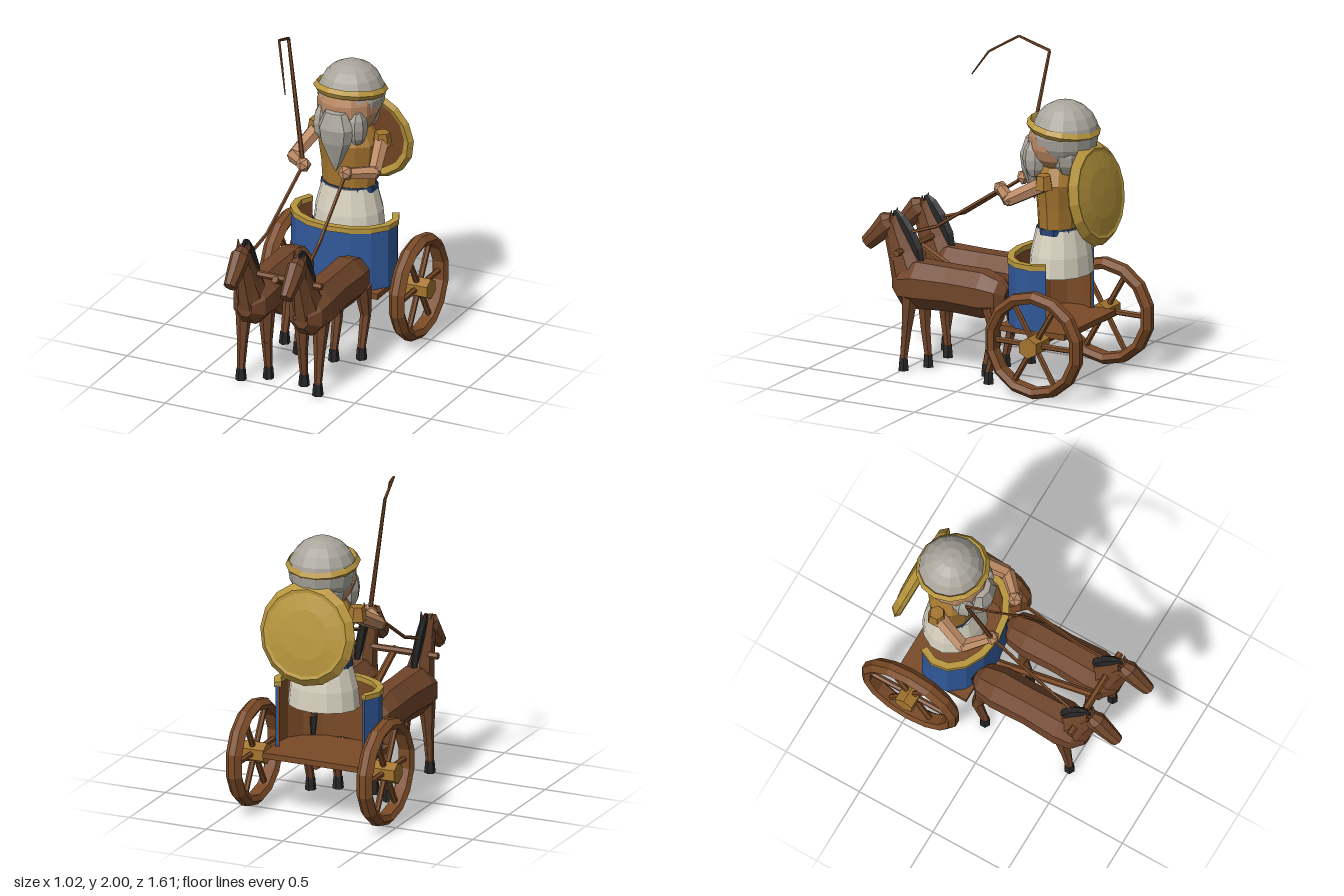
import * as THREE from 'three';

const mat = (color) => new THREE.MeshStandardMaterial({ color, flatShading: true });
const M = {
  wood: mat(0x7a4a26), coat: mat(0x70452a), gold: mat(0xb8963c), bronze: mat(0xa3742e), blue: mat(0x30599a),
  skin: mat(0xba8862), hair: mat(0xaaa69d), cloth: mat(0xd6d0be), dark: mat(0x262626), navy: mat(0x233f70),
};
const V = (p) => new THREE.Vector3(...p);

function add(parent, name, geo, material, pos = [0, 0, 0], scale = [1, 1, 1]) {
  const m = new THREE.Mesh(geo, material);
  m.name = name;
  m.position.set(...pos);
  m.scale.set(...scale);
  parent.add(m);
  return m;
}

// Tapered rod between two points
function rod(parent, name, a, b, r0, r1, material, sides = 6) {
  const d = V(b).sub(V(a));
  const m = add(parent, name, new THREE.CylinderGeometry(r1, r0, d.length(), sides), material);
  m.position.copy(V(a)).addScaledVector(d, 0.5);
  m.quaternion.setFromUnitVectors(new THREE.Vector3(0, 1, 0), d.normalize());
  return m;
}

// Chain of rods through a list of points
function chain(parent, name, pts, radii, material, sides = 6) {
  for (let i = 0; i + 1 < pts.length; i++) rod(parent, name, pts[i], pts[i + 1], radii[i], radii[i + 1], material, sides);
}

const lathe = (pts, sides) => new THREE.LatheGeometry(pts.map((p) => new THREE.Vector2(...p)), sides);

// Skin over elliptical rings: [y, z, halfWidth, halfHeight, pitch]
function loft(rings, n = 8) {
  const pos = [], idx = [];
  for (const [y, z, w, h, a] of rings) {
    for (let j = 0; j < n; j++) {
      const t = ((j + 0.5) / n) * Math.PI * 2, u = h * Math.sin(t);
      pos.push(w * Math.cos(t), y + u * Math.cos(a), z - u * Math.sin(a));
    }
  }
  for (let i = 0; i + 1 < rings.length; i++) {
    for (let j = 0; j < n; j++) {
      const k = (j + 1) % n, a = i * n + j, b = i * n + k;
      idx.push(a, b, b + n, a, b + n, a + n);
    }
  }
  const e = (rings.length - 1) * n;
  for (let j = 1; j + 1 < n; j++) idx.push(0, j + 1, j, e, e + j, e + j + 1);
  const g = new THREE.BufferGeometry();
  g.setAttribute('position', new THREE.Float32BufferAttribute(pos, 3));
  g.setIndex(idx);
  const flat = g.toNonIndexed();
  flat.computeVertexNormals();
  return flat;
}

function wheel(side) {
  const g = new THREE.Group();
  g.name = 'wheel';
  const rim = [[0.262, -0.035], [0.295, -0.052], [0.326, -0.02], [0.326, 0.02], [0.295, 0.052], [0.262, 0.035], [0.262, -0.035]];
  add(g, 'rim', lathe(rim, 14), M.wood);
  add(g, 'hub', new THREE.CylinderGeometry(0.065, 0.065, 0.165, 6), M.bronze);
  for (let i = 0; i < 6; i++) {
    const a = (i * Math.PI) / 3, c = Math.cos(a), s = Math.sin(a);
    rod(g, 'spoke', [c * 0.04, 0, s * 0.04], [c * 0.28, 0, s * 0.28], 0.018, 0.018, M.wood);
  }
  g.rotation.z = Math.PI / 2;
  g.rotation.x = Math.PI / 2;
  g.rotation.order = 'XYZ';
  g.position.set(side * 0.426, 0.335, -0.487);
  return g;
}

// Curved wall, open at the back, between two sizes of the same arc
function wall(outer, inner, height) {
  const s = new THREE.Shape(), n = 10, span = (Math.PI * 2) / 3;
  const pt = (i, k) => {
    const a = -span + (2 * span * i) / n;
    return [(0.335 + k) * Math.sin(a), -(0.235 + k) * Math.cos(a)];
  };
  for (let i = 0; i <= n; i++) i ? s.lineTo(...pt(i, outer)) : s.moveTo(...pt(i, outer));
  for (let i = n; i >= 0; i--) s.lineTo(...pt(i, inner));
  const g = new THREE.ExtrudeGeometry(s, { depth: height, bevelEnabled: false });
  return g.rotateX(-Math.PI / 2);
}

function chariot() {
  const g = new THREE.Group();
  g.name = 'chariot';
  add(g, 'floor', new THREE.BoxGeometry(0.62, 0.035, 0.45), M.wood, [0, 0.37, -0.4]);
  rod(g, 'axle', [-0.4, 0.335, -0.487], [0.4, 0.335, -0.487], 0.022, 0.022, M.wood);
  add(g, 'frontPanel', wall(0, -0.015, 0.38), M.blue, [0, 0.385, -0.37]);
  add(g, 'panelLining', wall(-0.015, -0.025, 0.38), M.wood, [0, 0.385, -0.37]);
  add(g, 'panelRim', wall(0.008, -0.035, 0.032), M.gold, [0, 0.757, -0.37]);
  chain(g, 'pole', [[0, 0.325, -0.55], [0, 0.36, -0.12], [0, 0.72, 0.555]], [0.024, 0.024, 0.022], M.wood);
  rod(g, 'yoke', [-0.295, 0.72, 0.522], [0.295, 0.72, 0.522], 0.021, 0.021, M.wood);
  for (const s of [-1, 1]) g.add(wheel(s));
  return g;
}

function horse(s) {
  const g = new THREE.Group();
  g.name = 'horse';
  add(g, 'body', loft([
    [0.52, -0.175, 0.05, 0.06, 0], [0.52, -0.13, 0.105, 0.115, 0], [0.525, -0.02, 0.128, 0.15, 0],
    [0.53, 0.2, 0.122, 0.145, 0], [0.525, 0.42, 0.135, 0.155, 0], [0.51, 0.52, 0.115, 0.13, 0],
    [0.51, 0.585, 0.05, 0.06, 0],
  ]), M.coat);
  add(g, 'neck', loft([
    [0.54, 0.48, 0.095, 0.13, 1.0], [0.69, 0.54, 0.066, 0.095, 1.1], [0.8, 0.585, 0.053, 0.075, 1.1],
    [0.9, 0.62, 0.045, 0.055, 1.0],
  ]), M.coat);
  add(g, 'head', loft([
    [0.89, 0.59, 0.04, 0.05, -0.7], [0.865, 0.635, 0.058, 0.077, -0.7], [0.79, 0.71, 0.05, 0.058, -0.75],
    [0.725, 0.778, 0.038, 0.047, -0.75],
  ]), M.coat);
  add(g, 'mane', loft([
    [0.645, 0.42, 0.02, 0.03, 1.0], [0.72, 0.455, 0.025, 0.055, 1.05], [0.83, 0.51, 0.025, 0.055, 1.1],
    [0.91, 0.565, 0.022, 0.045, 1.1], [0.95, 0.59, 0.008, 0.015, 1.1],
  ], 6), M.dark);
  chain(g, 'tail', [[0, 0.58, -0.13], [0, 0.5, -0.185], [0, 0.3, -0.2]], [0.022, 0.034, 0.01], M.dark);
  for (const e of [-1, 1]) {
    rod(g, 'ear', [e * 0.03, 0.89, 0.6], [e * 0.037, 0.955, 0.595], 0.018, 0.003, M.coat, 4);
    const fore = e === s; // outer legs: front one steps forward, hind one back
    const x = e * 0.068;
    const legs = [
      fore ? [[0.48, 0.45], [0.25, 0.475], [0.07, 0.495]] : [[0.48, 0.43], [0.25, 0.425], [0.07, 0.405]],
      fore ? [[0.47, -0.09], [0.27, -0.135], [0.07, -0.08]] : [[0.47, -0.01], [0.27, -0.035], [0.07, 0.012]],
    ];
    for (const leg of legs) {
      chain(g, 'leg', leg.map(([y, z]) => [x, y, z]), [0.055, 0.033, 0.024], M.coat);
      const [, z] = leg[2];
      rod(g, 'hoof', [x, 0, z], [x, 0.075, z], 0.034, 0.027, M.dark);
    }
  }
  g.position.x = s * 0.185;
  return g;
}

function rider() {
  const g = new THREE.Group();
  g.name = 'rider';
  const Z = -0.43;
  add(g, 'skirt', lathe([[0, 0.68], [0.222, 0.68], [0.21, 0.8], [0.168, 0.96], [0, 0.96]], 14), M.cloth, [0, 0, Z], [1, 1, 0.84]);
  add(g, 'belt', new THREE.CylinderGeometry(0.176, 0.18, 0.036, 10), M.navy, [0, 0.95, Z], [1, 1, 0.76]);
  add(g, 'tunic', lathe([[0, 0.945], [0.168, 0.95], [0.178, 1.1], [0.198, 1.24], [0.14, 1.34], [0, 1.37]], 12), M.bronze, [0, 0, Z], [1, 1, 0.75]);

  // Head, hair and beard
  add(g, 'head', new THREE.SphereGeometry(0.192, 12, 9), M.skin, [0, 1.48, -0.425]);
  add(g, 'hair', new THREE.SphereGeometry(0.202, 14, 10), M.hair, [0, 1.525, -0.455]);
  add(g, 'backHair', new THREE.SphereGeometry(1, 10, 8), M.hair, [0, 1.42, -0.505], [0.165, 0.16, 0.12]);
  const band = new THREE.TorusGeometry(0.203, 0.02, 4, 14).rotateX(Math.PI / 2);
  add(g, 'headband', band, M.gold, [0, 1.565, -0.445], [1, 1.4, 1]).rotation.x = -0.15;
  add(g, 'beard', lathe([[0, 1.09], [0.04, 1.16], [0.1, 1.29], [0.115, 1.38], [0.07, 1.48], [0, 1.485]], 8), M.hair, [0, 0, -0.248], [1, 1, 0.66]);
  for (const s of [-1, 1]) {
    add(g, 'sideBeard', new THREE.SphereGeometry(1, 7, 6), M.hair, [s * 0.115, 1.375, -0.31], [0.055, 0.115, 0.075]);

    // Arms
    add(g, 'shoulderCap', new THREE.CylinderGeometry(0.045, 0.06, 0.085, 6), M.bronze, [s * 0.215, 1.275, Z]);
    const elbow = [s * 0.265, 1.15, -0.225], hand = [s * 0.14, 1.17, -0.1];
    rod(g, 'upperArm', [s * 0.21, 1.26, Z], elbow, 0.05, 0.042, M.skin);
    rod(g, 'forearm', elbow, hand, 0.043, 0.032, M.skin);
    add(g, 'elbow', new THREE.IcosahedronGeometry(0.042, 0), M.skin, elbow);
    add(g, 'hand', new THREE.IcosahedronGeometry(0.048, 0), M.skin, hand);
    chain(g, 'rein', [hand, [s * 0.17, 0.885, 0.32], [s * 0.195, 0.815, 0.53]], [0.011, 0.011, 0.011], M.wood, 5);
  }

  // Whip in the right hand
  rod(g, 'whipHandle', [-0.135, 1.13, -0.095], [-0.283, 1.92, -0.19], 0.015, 0.01, M.wood);
  chain(g, 'whipLash', [[-0.283, 1.92, -0.19], [-0.25, 1.992, 0], [-0.155, 1.9, 0.15], [-0.095, 1.765, 0.23]],
    [0.01, 0.008, 0.007, 0.004], M.wood, 5);

  // Round shield on the back
  const shield = new THREE.Group();
  shield.name = 'shield';
  const face = [[0.25, -0.02], [0.285, -0.036], [0.312, -0.012], [0.272, 0.03], [0.252, 0.026], [0.15, 0.042], [0, 0.048]];
  add(shield, 'shieldFace', lathe(face, 16), M.gold);
  add(shield, 'shieldBacking', new THREE.CylinderGeometry(0.262, 0.262, 0.03, 16), M.wood, [0, -0.005, 0]);
  shield.position.set(0, 1.185, -0.67);
  shield.rotation.x = -1.4;
  shield.scale.x = 0.99;
  g.add(shield);
  return g;
}

export function createModel() {
  const model = new THREE.Group();
  model.name = 'chariotWithRider';
  model.add(chariot(), rider(), horse(-1), horse(1));
  return model;
}
